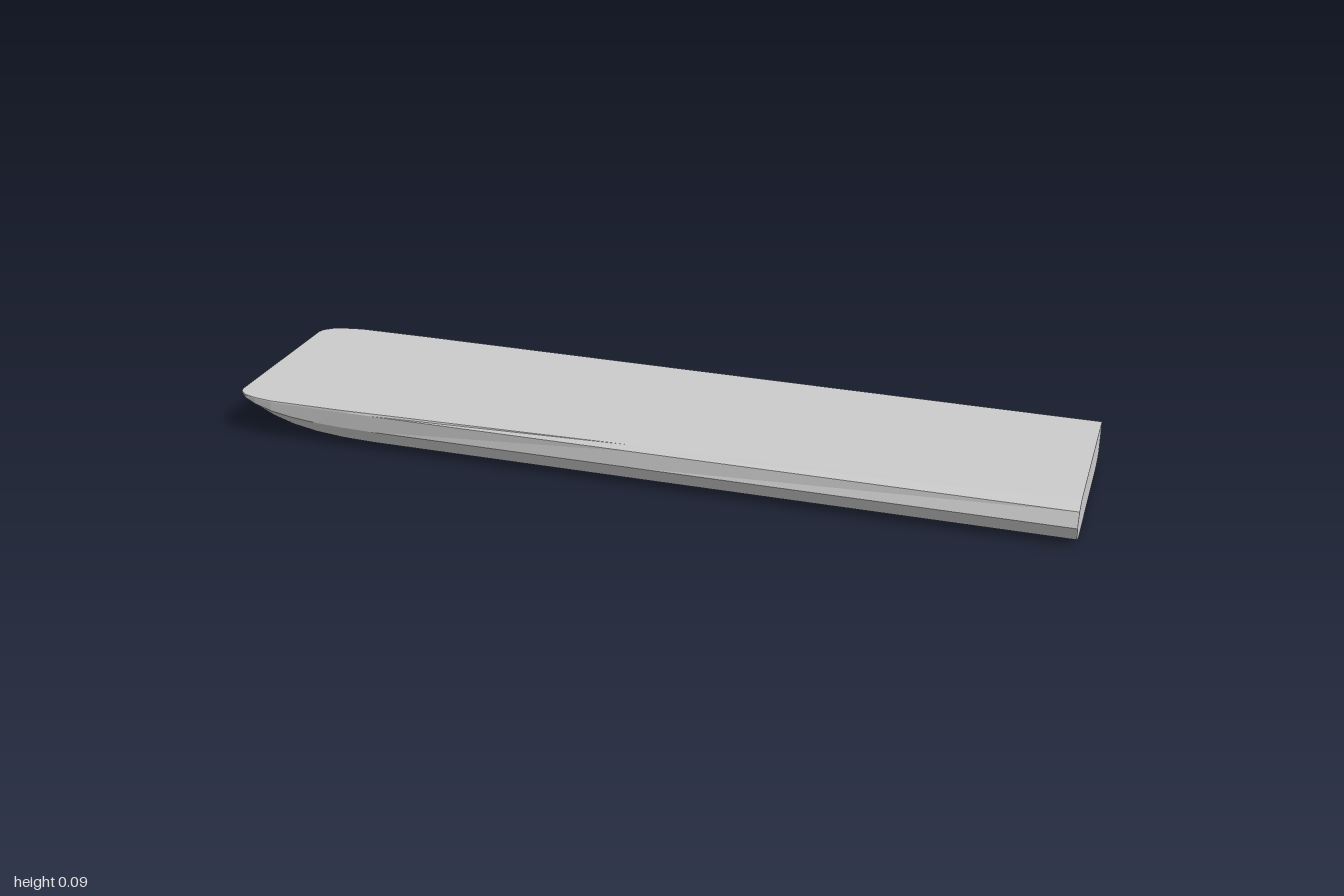
import * as THREE from 'three';

// Cross-sections as [z, y], from the front top edge, under the hull, to the back top edge
const bowSection = [[0.247, 0.093], [0.248, 0.088], [0.249, 0.048], [0.233, 0.014], [0.195, 0],
  [-0.155, 0], [-0.197, 0.006], [-0.225, 0.018], [-0.245, 0.048], [-0.25, 0.093]];
const sternSection = [[0.195, 0.093], [0.233, 0.08], [0.249, 0.048], [0.233, 0.014], [0.195, 0],
  [-0.155, 0], [-0.197, 0.006], [-0.225, 0.018], [-0.228, 0.048], [-0.229, 0.093]];

// Stations along the length: [x, width factor, depth factor]
const stations = [[-1, 0.8, 0], [-0.995, 0.86, 0.05], [-0.975, 0.93, 0.18], [-0.945, 0.97, 0.35],
  [-0.9, 1, 0.55], [-0.85, 1, 0.75], [-0.79, 1, 0.89], [-0.72, 1, 0.97], [-0.64, 1, 1],
  [0, 1, 1], [1, 1, 1]];

const TOP = 0.093;

function ringAt([x, width, depth]) {
  const t = Math.max(0, (x + 0.72) / 1.72);
  return bowSection.map(([z, y], i) => {
    const zz = THREE.MathUtils.lerp(z, sternSection[i][0], t);
    const yy = THREE.MathUtils.lerp(y, sternSection[i][1], t);
    return [x, TOP - (TOP - yy) * depth, zz * width];
  });
}

export function createModel() {
  const n = bowSection.length;
  const positions = stations.flatMap((s) => ringAt(s).flat());
  const index = [];

  // Skin between neighbouring stations, including the flat deck
  for (let s = 0; s < stations.length - 1; s++) {
    for (let j = 0; j < n; j++) {
      const k = (j + 1) % n;
      const a = s * n, b = a + n;
      index.push(a + j, a + k, b + j, a + k, b + k, b + j);
    }
  }

  // Flat end cap
  const last = (stations.length - 1) * n;
  for (let j = 1; j < n - 1; j++) index.push(last, last + j, last + j + 1);

  const geometry = new THREE.BufferGeometry();
  geometry.setAttribute('position', new THREE.Float32BufferAttribute(positions, 3));
  geometry.setIndex(index);
  geometry.computeVertexNormals();

  const hull = new THREE.Mesh(geometry,
    new THREE.MeshStandardMaterial({ color: 0xcccccc, flatShading: true }));
  hull.name = 'hull';

  const group = new THREE.Group();
  group.name = 'flatHull';
  group.add(hull);
  return group;
}
